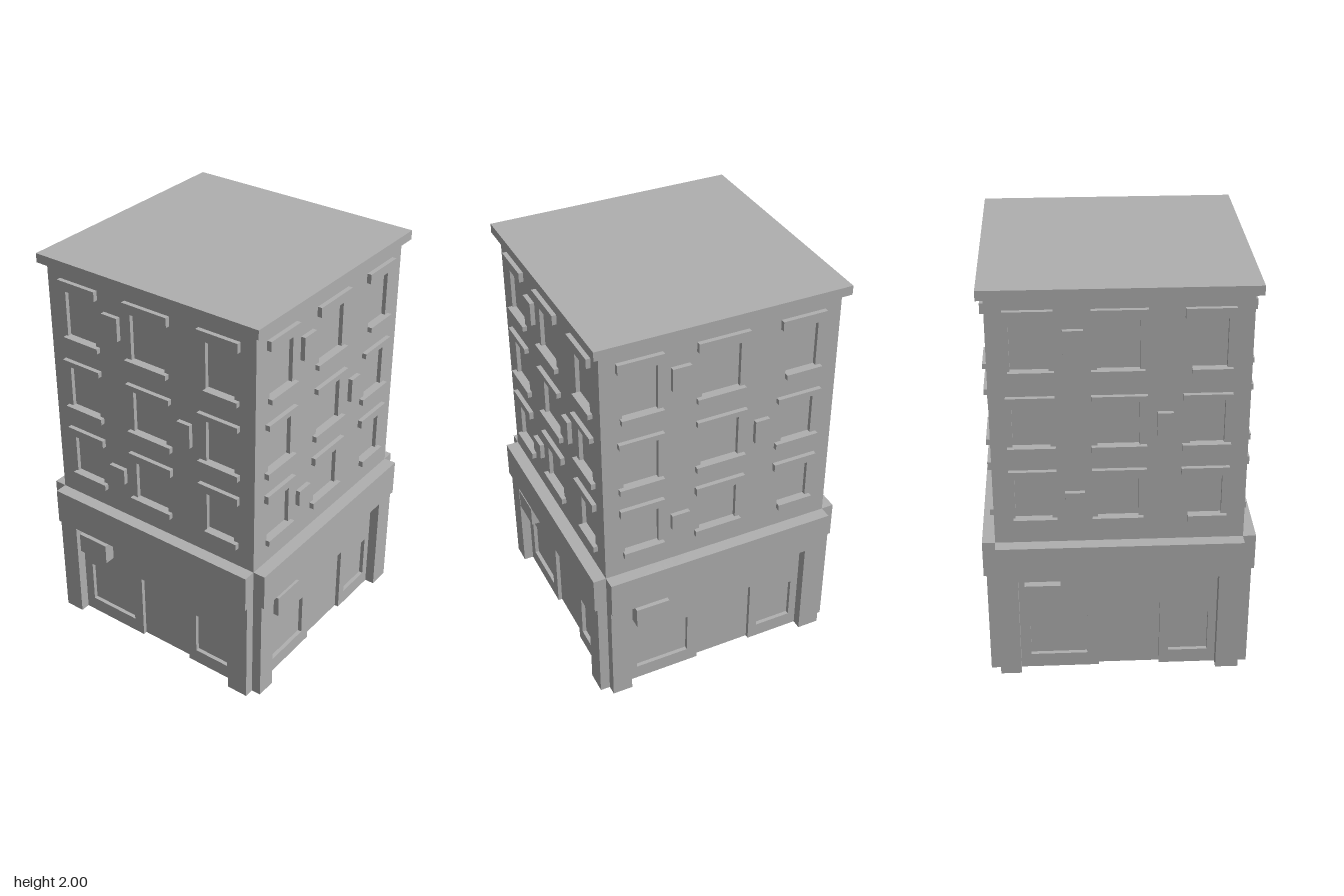
import * as THREE from 'three';

const WALL = 0.58;      // distance of each facade from the centre axis
const EAVE = 1.955;     // underside of the roof slab

// Every relief is [name, x0, x1, y0, y1, depth]; negative depth is recessed.
function facadeReliefs() {
  const list = [];
  const add = (name, x0, x1, y0, y1, depth) => list.push({ name, x0, x1, y0, y1, depth });

  // Shop floor
  add('pillars', -WALL, -0.48, 0, 0.545, 0.048);
  add('pillars', 0.47, WALL, 0, 0.545, 0.048);
  add('shopWindows', -0.43, -0.155, 0.075, 0.3, -0.02);
  add('shopWindows', 0.24, 0.43, 0.075, 0.3, -0.02);
  add('door', -0.1, 0.195, 0, 0.36, -0.02);
  add('hangingBox', -0.45, -0.28, 0.41, 0.515, 0.055);
  add('storeyBand', -WALL, WALL, 0.545, 0.73, 0.062);

  // Upper windows: three storeys of three, each with a sill and a lintel
  const windows = [[-0.48, -0.31], [-0.1, 0.088], [0.315, 0.47]];
  const lintels = [[-0.505, -0.287], [-0.127, 0.122], [0.28, 0.5]];
  const shortSills = [[-0.49, -0.287], [-0.127, 0.11], [0.315, 0.495]];
  const storeys = [
    { sill: [0.83, 0.86], lintel: [1.075, 1.115], sills: shortSills },
    { sill: [1.205, 1.235], lintel: [1.46, 1.487], sills: lintels },
    { sill: [1.585, 1.61], lintel: [1.85, 1.897], sills: shortSills },
  ];
  for (const s of storeys) {
    for (let i = 0; i < 3; i++) {
      add('windows', ...windows[i], s.sill[1], s.lintel[0], -0.02);
      add('sills', ...s.sills[i], ...s.sill, 0.022);
      add('lintels', ...lintels[i], ...s.lintel, 0.022);
    }
  }

  // Small boxes between the windows
  add('wallBoxes', -0.25, -0.16, 0.92, 1.0, 0.022);
  add('wallBoxes', 0.167, 0.238, 1.28, 1.4, 0.022);
  add('wallBoxes', -0.25, -0.16, 1.69, 1.805, 0.022);
  return list;
}

// Turns the reliefs into one stepped shell, sorted into a geometry per part.
function buildFacade(reliefs) {
  const cuts = (values) => [...new Set(values)].sort((a, b) => a - b);
  const xs = cuts([-WALL, WALL, ...reliefs.flatMap((r) => [r.x0, r.x1])]);
  const ys = cuts([0, EAVE, ...reliefs.flatMap((r) => [r.y0, r.y1])]);
  const plain = { name: 'wall', depth: 0 };
  const cellAt = (i, j) => {
    const x = (xs[i] + xs[i + 1]) / 2;
    const y = (ys[j] + ys[j + 1]) / 2;
    return reliefs.find((r) => x > r.x0 && x < r.x1 && y > r.y0 && y < r.y1) || plain;
  };

  const parts = {};
  const quad = (name, a, b, c, d) => {
    (parts[name] ||= []).push(...a, ...b, ...c, ...a, ...c, ...d);
  };
  // A step belongs to the part that stands out, or in, the most
  const owner = (a, b) => (Math.abs(a.depth) > Math.abs(b.depth) ? a.name : b.name);

  for (let i = 0; i < xs.length; i++) {
    for (let j = 0; j < ys.length - 1; j++) {
      const [x0, x1, y0, y1] = [xs[i], xs[i + 1], ys[j], ys[j + 1]];
      const inside = i < xs.length - 1;
      const here = inside ? cellAt(i, j) : plain;
      const left = i > 0 ? cellAt(i - 1, j) : plain;
      const z = WALL + here.depth;
      // Face of the cell
      if (inside) quad(here.name, [x0, y0, z], [x1, y0, z], [x1, y1, z], [x0, y1, z]);
      // Step to the cell on the left
      if (left.depth !== here.depth) {
        const a = WALL + left.depth;
        quad(owner(left, here), [x0, y0, a], [x0, y0, z], [x0, y1, z], [x0, y1, a]);
      }
      // Step to the cell below; the foot stays open
      if (inside && j > 0) {
        const below = cellAt(i, j - 1);
        if (below.depth !== here.depth) {
          const a = WALL + below.depth;
          quad(owner(below, here), [x0, y0, a], [x1, y0, a], [x1, y0, z], [x0, y0, z]);
        }
      }
    }
  }

  return Object.entries(parts).map(([name, positions]) => {
    const geometry = new THREE.BufferGeometry();
    geometry.setAttribute('position', new THREE.Float32BufferAttribute(positions, 3));
    geometry.computeVertexNormals();
    return { name, geometry };
  });
}

// Square roof cap with an overhanging rim
function buildRoof() {
  const profile = [[WALL, EAVE], [0.612, EAVE], [0.612, 2], [0, 2]];
  const points = profile.map(([r, y]) => new THREE.Vector2(r * Math.SQRT2, y));
  const geometry = new THREE.LatheGeometry(points, 4).rotateY(Math.PI / 4).toNonIndexed();
  geometry.computeVertexNormals();
  return geometry;
}

export function createModel() {
  const stone = new THREE.MeshStandardMaterial({ color: 0xb0b0b0, side: THREE.DoubleSide });
  stone.name = 'grey stone';

  const model = new THREE.Group();
  model.name = 'cornerBuilding';

  // The same facade on all four sides
  const parts = buildFacade(facadeReliefs());
  ['front', 'left', 'back', 'right'].forEach((side, i) => {
    const facade = new THREE.Group();
    facade.name = `${side}Facade`;
    for (const { name, geometry } of parts) {
      const mesh = new THREE.Mesh(geometry, stone);
      mesh.name = name;
      facade.add(mesh);
    }
    facade.rotation.y = (i * Math.PI) / 2;
    model.add(facade);
  });

  const roof = new THREE.Mesh(buildRoof(), stone);
  roof.name = 'roof';
  model.add(roof);
  return model;
}
